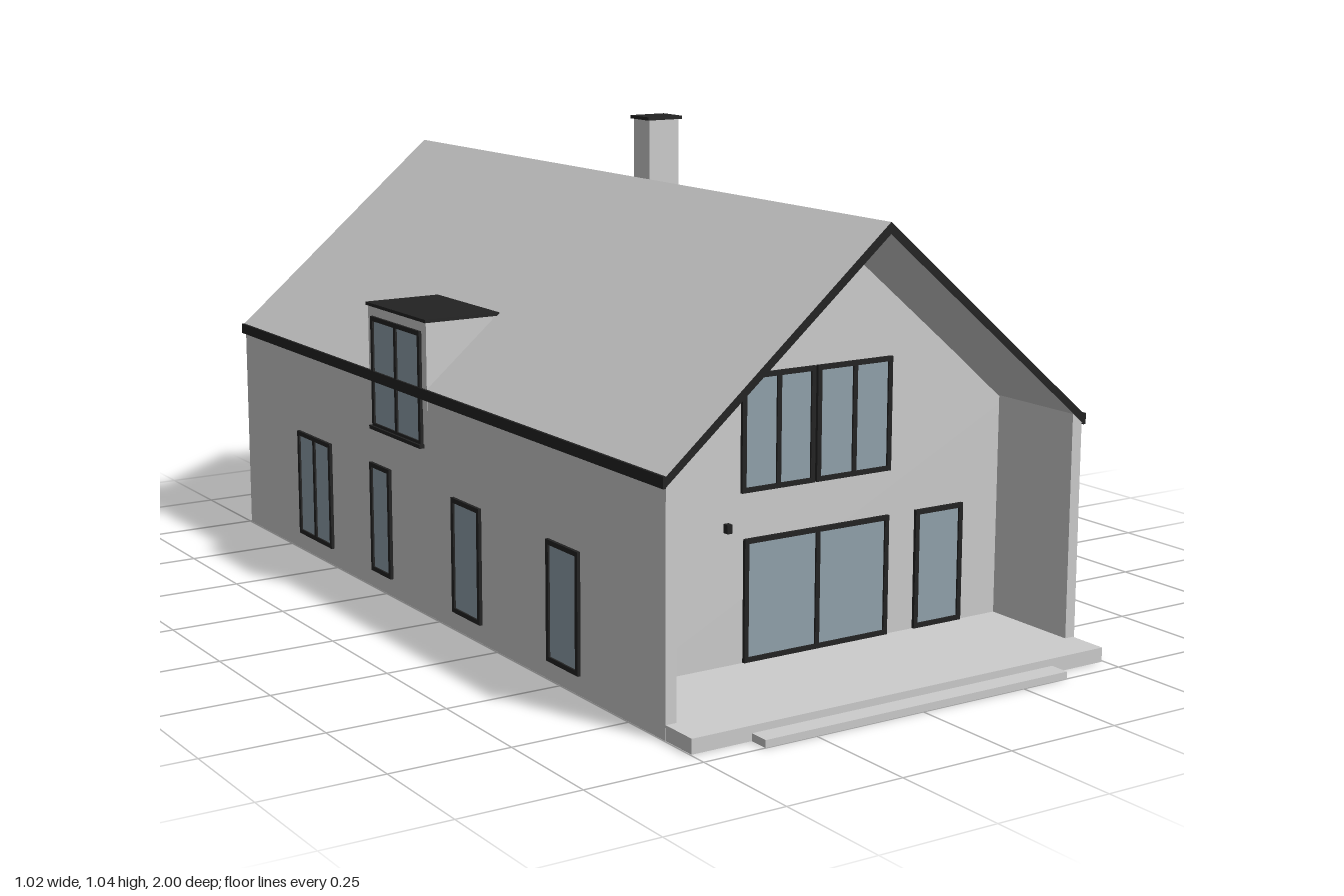
import * as THREE from 'three';

export function createModel() {
  const house = new THREE.Group();
  house.name = 'house';
  const mat = (name, color) => {
    const m = new THREE.MeshStandardMaterial({ color });
    m.name = name;
    return m;
  };
  const plaster = mat('light grey plaster', 0xcccccc);
  const dark = mat('near black trim', 0x222222);
  const glass = mat('blue grey glass', 0x90a1ab);

  const add = (name, geo, material, parent = house) => {
    const m = new THREE.Mesh(geo, material);
    m.name = name;
    parent.add(m);
    return m;
  };
  // Box given by its minimum and maximum along each axis
  const box = (name, [x0, x1], [y0, y1], [z0, z1], material, parent) => {
    const m = add(name, new THREE.BoxGeometry(x1 - x0, y1 - y0, z1 - z0), material, parent);
    m.position.set((x0 + x1) / 2, (y0 + y1) / 2, (z0 + z1) / 2);
    return m;
  };
  // Outline in the x-y plane, extruded from z0 to z1
  const prism = (name, pts, z0, z1, material) => {
    const shape = new THREE.Shape(pts.map(p => new THREE.Vector2(...p)));
    const geo = new THREE.ExtrudeGeometry(shape, { depth: z1 - z0, bevelEnabled: false });
    return add(name, geo.translate(0, 0, z0), material);
  };

  // Floor slab, front terrace and step
  box('floorSlab', [-0.49, 0.49], [0, 0.03], [-0.995, 0.8], plaster);
  box('terrace', [-0.497, 0.495], [0, 0.03], [0.872, 0.957], plaster);
  box('terraceFloor', [-0.48, 0.48], [0, 0.03], [0.8, 0.872], plaster);
  box('terraceStep', [-0.365, 0.362], [0, 0.015], [0.957, 1], plaster);

  // Recessed body with both gables
  prism('gableBody', [[-0.485, 0.01], [0.485, 0.01], [0.485, 0.485], [0, 0.9], [-0.485, 0.485]],
    -0.81, 0.65, plaster);

  // Side walls that run past the gables
  for (const s of [1, -1]) {
    const pts = [[0.474 * s, 0], [0.498 * s, 0], [0.498 * s, 0.477], [0.474 * s, 0.498]];
    prism(s > 0 ? 'leftWall' : 'rightWall', pts, -0.995, 0.872, plaster);
  }

  // Roof: pale slopes, dark verges and dark eaves
  prism('roof', [[-0.5, 0.475], [0, 0.894], [0.5, 0.475], [0.5, 0.495], [0, 0.917], [-0.5, 0.495]],
    -1, 0.875, [plaster, dark]).material = [dark, plaster];
  for (const s of [1, -1]) {
    const eave = box('eave', [-0.003, 0.003], [0.473, 0.496], [-1, 0.875], dark);
    eave.position.x = 0.503 * s;
  }

  // Chimney
  box('chimney', [0.04, 0.116], [0.8, 1.037], [-0.08, -0.018], plaster);
  box('chimneyCap', [0.034, 0.121], [1.037, 1.044], [-0.085, -0.013], dark);

  // Dormers
  for (const [s, z0, z1] of [[1, -0.31, -0.03], [-1, -0.32, -0.04]]) {
    const xs = (a, b) => (s > 0 ? [a, b] : [-b, -a]);
    box('dormer', xs(0.34, 0.499), [0.45, 0.638], [z0 + 0.004, z1 - 0.004], plaster);
    box('dormerRoof', xs(0.325, 0.503), [0.638, 0.645], [z0, z1], dark);
  }

  // The four outer faces: c is the position along the face
  const faces = {
    front: { turn: 0, at: c => [c, 0.65] },
    back: { turn: Math.PI, at: c => [c, -0.81] },
    left: { turn: Math.PI / 2, at: c => [0.498, c] },
    right: { turn: -Math.PI / 2, at: c => [-0.498, c] },
  };
  const mount = (name, face, c, y) => {
    const g = new THREE.Group();
    g.name = name;
    const [x, z] = faces[face].at(c);
    g.position.set(x, y, z);
    g.rotation.y = faces[face].turn;
    house.add(g);
    return g;
  };

  const rect = (Type, x0, x1, y0, y1) => new Type(
    [[x0, y0], [x1, y0], [x1, y1], [x0, y1]].map(p => new THREE.Vector2(...p)));
  // Framed window between a and b along the face
  const addWindow = (name, face, a, b, y0, y1, panes = 1, sill = false, bar = 0.01) => {
    const w = Math.abs(b - a), h = y1 - y0;
    const g = mount(name, face, (a + b) / 2, y0);
    const frame = rect(THREE.Shape, -w / 2, w / 2, 0, h);
    const step = (w - bar) / panes;
    for (let i = 0; i < panes; i++) {
      const x = -w / 2 + bar + i * step;
      frame.holes.push(rect(THREE.Path, x, x + step - bar, bar, h - bar));
    }
    add('frame', new THREE.ExtrudeGeometry(frame, { depth: 0.007, bevelEnabled: false }), dark, g);
    box('glass', [-w / 2 + 0.004, w / 2 - 0.004], [0.004, h - 0.004], [-0.002, 0.003], glass, g);
    if (sill) box('sill', [-w / 2 - 0.005, w / 2 + 0.005], [-0.004, 0.004], [0, 0.012], dark, g);
  };

  // Front glazing
  addWindow('frontUpperWindow', 'front', -0.18, -0.005, 0.375, 0.61, 2);
  addWindow('frontUpperWindow', 'front', 0, 0.186, 0.375, 0.61, 2);
  addWindow('terraceDoors', 'front', -0.172, 0.184, 0.031, 0.282, 2);
  addWindow('terraceSideDoor', 'front', 0.254, 0.378, 0.031, 0.282);

  // Back glazing
  addWindow('backUpperWindow', 'back', 0.048, 0.2, 0.372, 0.608, 2);
  addWindow('backUpperWindow', 'back', -0.19, -0.03, 0.372, 0.608, 2);
  addWindow('backLowerWindow', 'back', -0.34, -0.228, 0.031, 0.272);

  // Side windows
  addWindow('leftWideWindow', 'left', 0.17, 0.402, 0.132, 0.228, 2, true, 0.008);
  addWindow('leftDoor', 'left', -0.346, -0.235, 0.035, 0.272, 1, false, 0.008);
  addWindow('leftSmallWindow', 'left', -0.584, -0.472, 0.172, 0.272, 1, true, 0.008);
  addWindow('leftDormerWindow', 'left', -0.276, -0.06, 0.362, 0.607, 2, true);
  addWindow('rightDormerWindow', 'right', -0.295, -0.065, 0.37, 0.617, 2, true);
  addWindow('rightDoubleWindow', 'right', -0.695, -0.52, 0.04, 0.287, 2);
  for (const [a, b] of [[-0.315, -0.22], [0.065, 0.185], [0.455, 0.575]])
    addWindow('rightTallWindow', 'right', a, b, 0.04, 0.287);

  // Back doors with pale handle and slots
  for (const [c, slots] of [[0.226, 0], [-0.046, 3]]) {
    const door = mount('backDoor', 'back', c, 0.03);
    box('leaf', [-0.064, 0.064], [0, 0.242], [0, 0.007], dark, door);
    const hx = slots ? 0.046 : -0.046;
    box('handle', [hx - 0.008, hx + 0.008], [0.103, 0.108], [0.007, 0.012], plaster, door);
    for (let i = 0; i < slots; i++)
      box('slot', [-0.028, 0.028], [0.05 + i * 0.068, 0.059 + i * 0.068], [0.006, 0.009], plaster, door);
  }

  // Wall lamps
  for (const [face, c, y] of [['front', -0.213, 0.31], ['back', 0.113, 0.3], ['back', -0.15, 0.297]])
    box('lamp', [-0.006, 0.006], [-0.009, 0.009], [0, 0.014], dark, mount('wallLamp', face, c, y));

  return house;
}
